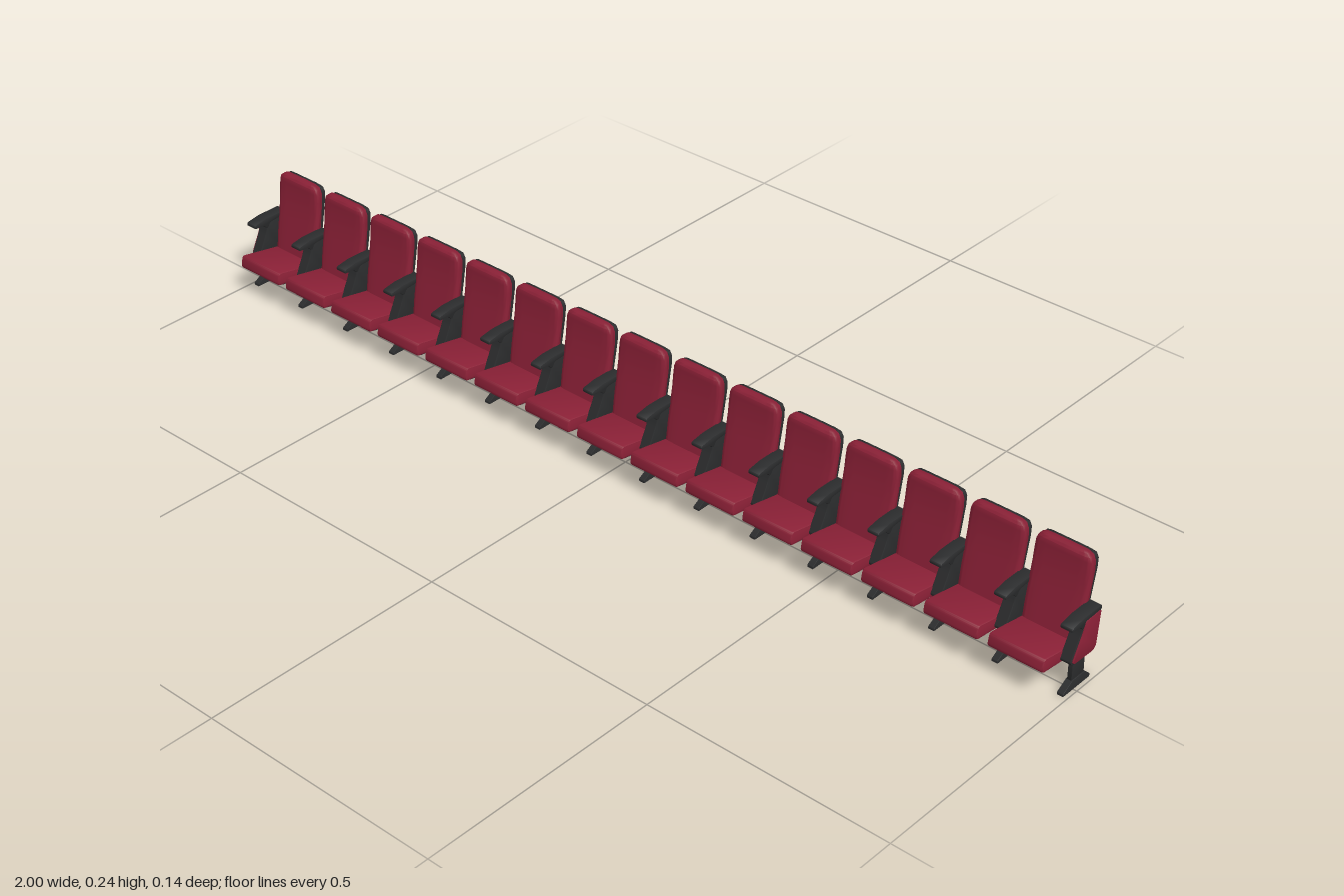
import * as THREE from 'three';
import { toCreasedNormals } from 'three/addons/utils/BufferGeometryUtils.js';

const SEATS = 15;
const PITCH = 0.1315;

// Side profile of [z, y] corners, rounded by r, extruded along x and centred
function sideExtrude(points, width, r, bevel) {
  const p = points.map(([z, y]) => new THREE.Vector2(-z, y));
  const shape = new THREE.Shape();
  p.forEach((corner, i) => {
    const prev = p[(i + p.length - 1) % p.length];
    const next = p[(i + 1) % p.length];
    const toward = (q) => {
      const d = q.clone().sub(corner);
      return corner.clone().addScaledVector(d.clone().normalize(), Math.min(r, d.length() * 0.45));
    };
    const a = toward(prev), b = toward(next);
    if (i === 0) shape.moveTo(a.x, a.y);
    else shape.lineTo(a.x, a.y);
    shape.quadraticCurveTo(corner.x, corner.y, b.x, b.y);
  });
  shape.closePath();
  const geo = new THREE.ExtrudeGeometry(shape, {
    depth: width - 2 * bevel, curveSegments: 4, bevelEnabled: bevel > 0,
    bevelThickness: bevel, bevelSize: bevel, bevelOffset: -bevel, bevelSegments: 2,
  });
  geo.translate(0, 0, bevel - width / 2);
  geo.rotateY(Math.PI / 2);
  return toCreasedNormals(geo, 0.7);
}

// Loft of rounded rectangles; each row is [y, frontZ, backZ, halfWidth]
function loft(rows, n = 28) {
  const pos = [], idx = [];
  const soft = (v) => Math.sign(v) * Math.pow(Math.abs(v), 0.35);
  for (const [y, zf, zb, hw] of rows) {
    for (let i = 0; i < n; i++) {
      const t = (i / n) * Math.PI * 2;
      pos.push(hw * soft(Math.cos(t)), y, (zf + zb) / 2 + ((zf - zb) / 2) * soft(Math.sin(t)));
    }
  }
  for (let j = 0; j < rows.length - 1; j++) {
    for (let i = 0; i < n; i++) {
      const a = j * n + i, b = j * n + ((i + 1) % n);
      idx.push(a, a + n, b, b, a + n, b + n);
    }
  }
  // End caps
  const last = rows.length - 1, count = rows.length * n;
  for (const row of [rows[0], rows[last]]) pos.push(0, row[0], (row[1] + row[2]) / 2);
  for (let i = 0; i < n; i++) {
    const k = (i + 1) % n;
    idx.push(count, i, k, count + 1, last * n + k, last * n + i);
  }
  const geo = new THREE.BufferGeometry();
  geo.setAttribute('position', new THREE.Float32BufferAttribute(pos, 3));
  geo.setIndex(idx);
  return toCreasedNormals(geo, 0.8);
}

export function createModel() {
  const red = new THREE.MeshStandardMaterial({ color: 0x8a2036 });
  red.name = 'red upholstery';
  const dark = new THREE.MeshStandardMaterial({ color: 0x2b2c2d });
  dark.name = 'dark plastic';

  const geos = {
    cushion: sideExtrude([[0.069, 0.092], [0.074, 0.065], [-0.046, 0.05], [-0.056, 0.069]], 0.112, 0.008, 0.004),
    pan: sideExtrude([[0.06, 0.066], [0.06, 0.0623], [-0.04, 0.0495], [-0.04, 0.054]], 0.106, 0.001, 0),
    backrest: loft([
      [0.07, -0.024, -0.04, 0.052], [0.075, -0.02, -0.044, 0.055], [0.11, -0.026, -0.047, 0.056],
      [0.15, -0.033, -0.052, 0.056], [0.18, -0.038, -0.056, 0.056], [0.205, -0.04, -0.06, 0.056],
      [0.222, -0.041, -0.061, 0.055], [0.232, -0.041, -0.0605, 0.051],
      [0.237, -0.043, -0.058, 0.045], [0.239, -0.047, -0.054, 0.038],
    ]),
    shell: loft([
      [0.08, -0.04, -0.047, 0.048], [0.088, -0.04, -0.05, 0.053], [0.145, -0.048, -0.056, 0.054],
      [0.175, -0.053, -0.062, 0.054], [0.205, -0.056, -0.068, 0.054], [0.222, -0.058, -0.07, 0.053],
      [0.231, -0.058, -0.069, 0.049], [0.236, -0.058, -0.064, 0.042],
    ]),
    leg: sideExtrude([[0.005, 0.015], [0.006, 0.065], [-0.028, 0.065], [-0.031, 0.015]], 0.009, 0.002, 0.001),
    foot: sideExtrude([[0.029, 0], [0.029, 0.005], [0.004, 0.02], [-0.031, 0.02], [-0.047, 0.006], [-0.047, 0]],
      0.013, 0.001, 0.001),
    sidePanel: sideExtrude([[-0.003, 0.143], [-0.053, 0.143], [-0.047, 0.068], [-0.04, 0.06],
      [0.018, 0.061], [0.025, 0.068], [0.006, 0.106], [-0.001, 0.125]], 0.023, 0.004, 0.002),
    armrest: sideExtrude([[0.031, 0.143], [0.0, 0.148], [-0.053, 0.148], [-0.053, 0.139],
      [-0.01, 0.136], [-0.002, 0.124], [0.008, 0.134], [0.031, 0.135]], 0.025, 0.004, 0.002),
    endPad: sideExtrude([[-0.006, 0.139], [-0.05, 0.14], [-0.045, 0.07], [-0.038, 0.063],
      [0.016, 0.065], [0.022, 0.07], [0.004, 0.106], [-0.004, 0.125]], 0.004, 0.004, 0.001),
  };

  const model = new THREE.Group();
  model.name = 'seatRow';
  const add = (group, name, material, x = 0) => {
    const mesh = new THREE.Mesh(geos[name], material);
    mesh.name = name;
    mesh.position.x = x;
    group.add(mesh);
  };

  // Seats
  for (let i = 0; i < SEATS; i++) {
    const seat = new THREE.Group();
    seat.name = 'seat';
    seat.position.x = (i - (SEATS - 1) / 2) * PITCH;
    add(seat, 'cushion', red);
    add(seat, 'pan', dark);
    add(seat, 'backrest', red);
    add(seat, 'shell', dark);
    model.add(seat);
  }

  // Standards with armrests, one more than there are seats
  for (let i = 0; i <= SEATS; i++) {
    const stand = new THREE.Group();
    stand.name = 'standard';
    stand.position.x = (i - SEATS / 2) * PITCH;
    for (const part of ['leg', 'foot', 'sidePanel', 'armrest']) add(stand, part, dark);
    // Upholstered pads on the outer faces of the row
    if (i === 0) add(stand, 'endPad', red, -0.0117);
    if (i === SEATS) add(stand, 'endPad', red, 0.0117);
    model.add(stand);
  }
  return model;
}
